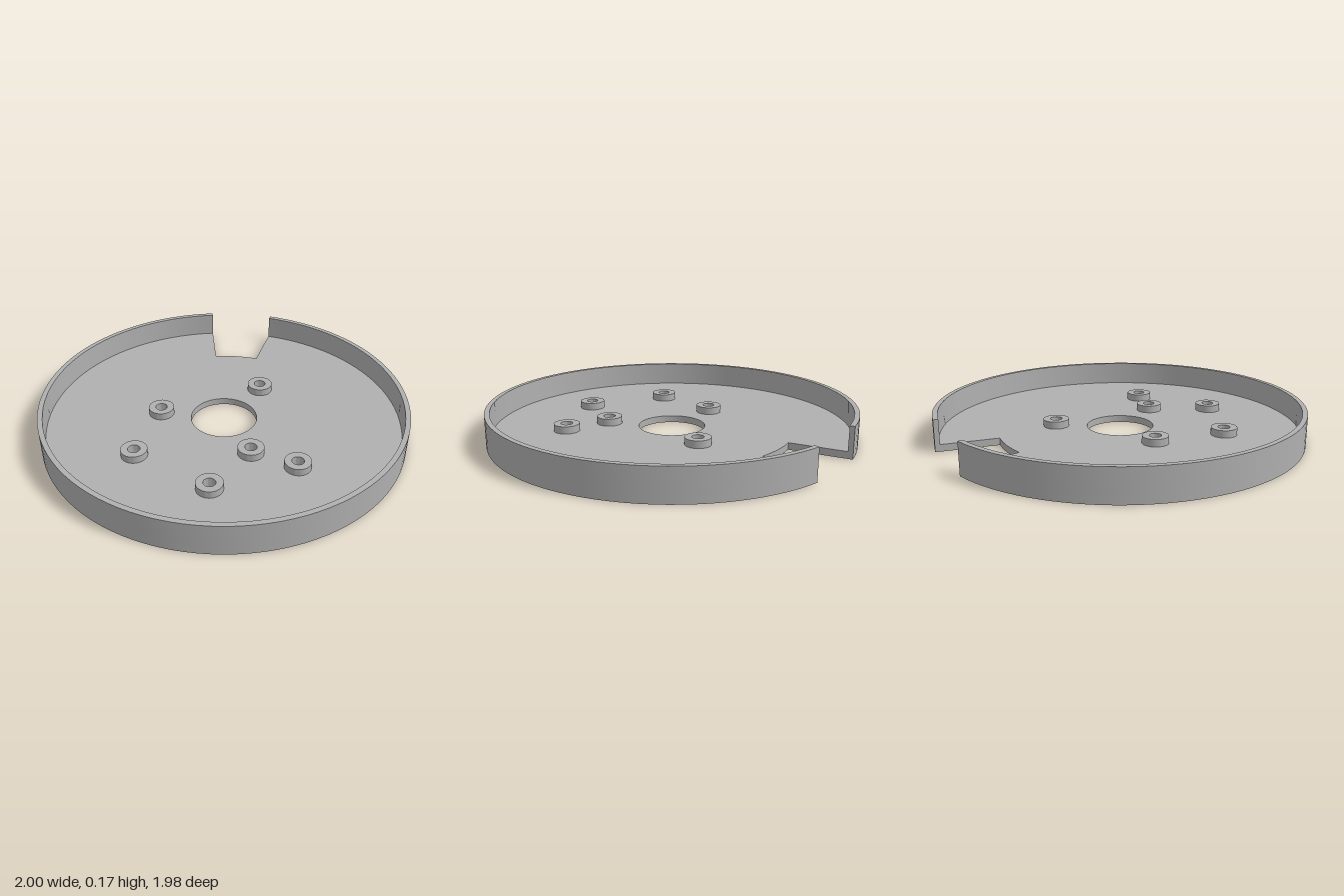
import * as THREE from 'three';
import { toCreasedNormals } from 'three/addons/utils/BufferGeometryUtils.js';

const OUTER = 1, INNER = 0.973, NOTCH_RADIUS = 0.669, NOTCH_ANGLE = 0.193;
const FLOOR = 0.038, HEIGHT = 0.172, BOSS_HEIGHT = 0.04;
const BOSS_RADIUS = 0.07, SCREW_RADIUS = 0.032, BORE_RADIUS = 0.182;

// Boss centres as [x, z] from the disc centre
const BOSSES = [
  [0.176, -0.305], [-0.352, 0], [0.176, 0.305],
  [-0.422, 0.391], [0.422, 0.391], [0, 0.607],
];

const circle = (x, z, r) => new THREE.Path().absarc(x, -z, r, 0, Math.PI * 2, true);

// Extrude a plan shape upwards from height y
function slab(name, shape, y, height, material, segments) {
  let geometry = new THREE.ExtrudeGeometry(shape, {
    depth: height, bevelEnabled: false, curveSegments: segments,
  });
  geometry.rotateX(-Math.PI / 2);
  geometry = toCreasedNormals(geometry, 0.6);
  const mesh = new THREE.Mesh(geometry, material);
  mesh.name = name;
  mesh.position.y = y;
  return mesh;
}

export function createModel() {
  const group = new THREE.Group();
  group.name = 'coverPlate';
  const grey = new THREE.MeshStandardMaterial({ color: 0xb0b0b0 });
  grey.name = 'plain grey';

  const start = Math.PI / 2 + NOTCH_ANGLE;
  const end = Math.PI * 2.5 - NOTCH_ANGLE;

  // Floor disc with the wedge notch, centre bore and screw holes
  const floor = new THREE.Shape();
  floor.absarc(0, 0, OUTER, start, end, false);
  floor.absarc(0, 0, NOTCH_RADIUS, Math.PI / 2 - NOTCH_ANGLE, start, false);
  floor.closePath();
  floor.holes.push(circle(0, 0, BORE_RADIUS));
  for (const [x, z] of BOSSES) floor.holes.push(circle(x, z, SCREW_RADIUS));
  group.add(slab('floor', floor, 0, FLOOR, grey, 48));

  // Raised wall, open at the notch
  const rim = new THREE.Shape();
  rim.absarc(0, 0, OUTER, start, end, false);
  rim.absarc(0, 0, INNER, end, start, true);
  rim.closePath();
  group.add(slab('rimWall', rim, FLOOR, HEIGHT - FLOOR, grey, 48));

  // Hollow screw bosses
  BOSSES.forEach(([x, z], i) => {
    const ring = new THREE.Shape();
    ring.absarc(0, 0, BOSS_RADIUS, 0, Math.PI * 2, false);
    ring.holes.push(circle(0, 0, SCREW_RADIUS));
    const boss = slab(`screwBoss${i + 1}`, ring, FLOOR, BOSS_HEIGHT, grey, 24);
    boss.position.x = x;
    boss.position.z = z;
    group.add(boss);
  });

  // Centre the bounds, as the notch trims the back edge
  group.position.z = -0.009;
  return group;
}
